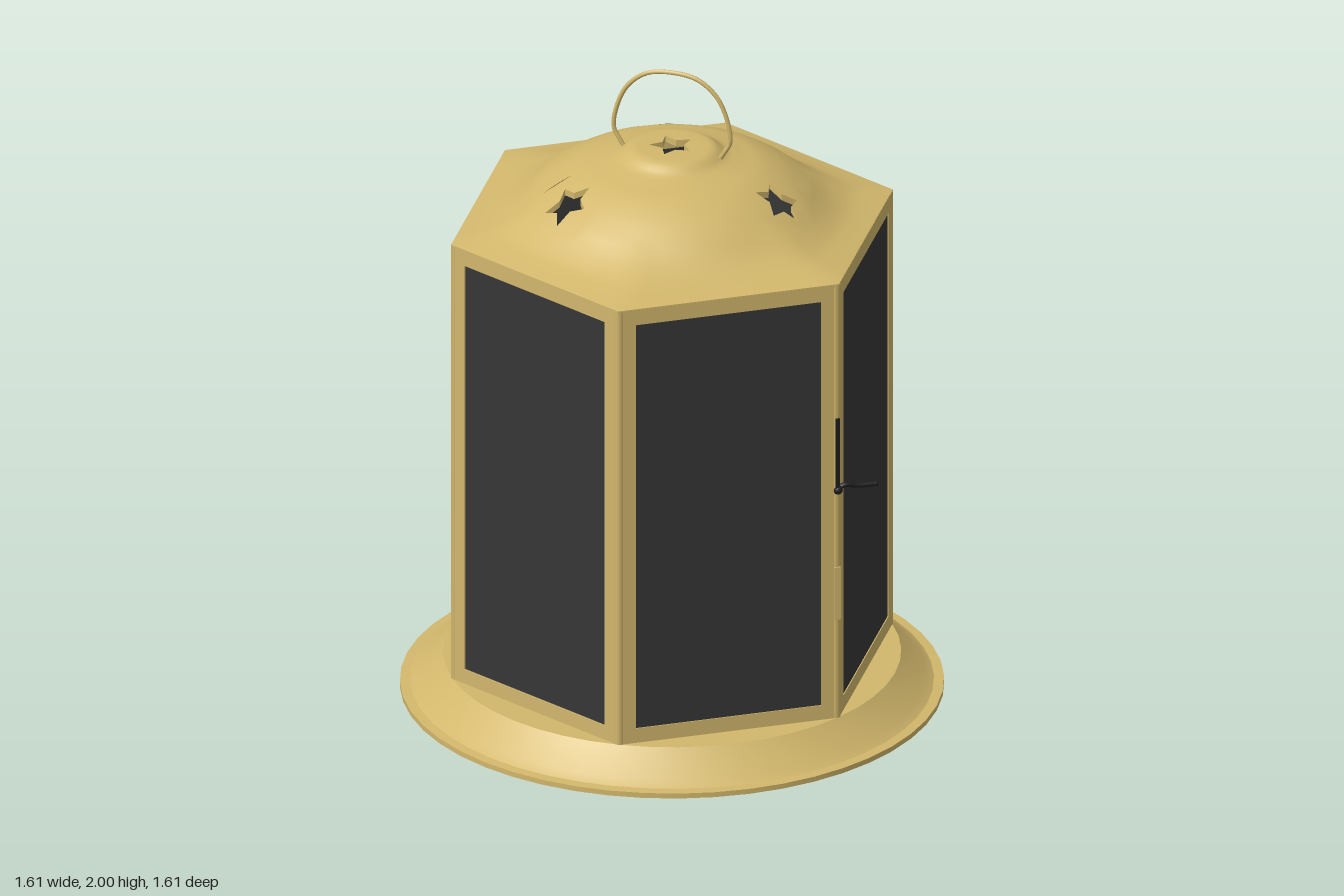
import * as THREE from 'three';
import { mergeGeometries, toCreasedNormals } from 'three/addons/utils/BufferGeometryUtils.js';

const APOTHEM = 0.59, CORNER = 0.681, DEG = Math.PI / 180;

// Roof height: a round dome that spreads into a hexagon at the eaves.
const roofR = [-0.1, 0, 0.08, 0.125, 0.142, 0.16, 0.2, 0.27, 0.34, 0.42, 0.48, 0.55, 0.62, 0.68, 0.75];
const roofY = [1.757, 1.757, 1.757, 1.753, 1.743, 1.73, 1.718, 1.7, 1.667, 1.615, 1.58, 1.55, 1.533, 1.522, 1.508];
const profile = new THREE.CubicInterpolant(roofR, roofY, 1);
const hexRadius = (a) => {
  const w = ((a % (60 * DEG)) + 60 * DEG) % (60 * DEG) - 30 * DEG;
  return APOTHEM / Math.cos(w);
};
function roofHeight(x, y) {
  const r = Math.hypot(x, y);
  const s = r < 0.4 ? r : 0.4 + (r - 0.4) / (hexRadius(Math.atan2(y, x)) - 0.4) * 0.28;
  return profile.evaluate(s)[0];
}

// Lifts a flat plan (x, y) onto the roof and gives it smooth normals.
function drape(geometry) {
  const p = geometry.attributes.position, n = geometry.attributes.normal, e = 0.004;
  for (let i = 0; i < p.count; i++) {
    const x = p.getX(i), y = p.getY(i);
    const dx = (roofHeight(x + e, y) - roofHeight(x - e, y)) / (2 * e);
    const dy = (roofHeight(x, y + e) - roofHeight(x, y - e)) / (2 * e);
    const v = new THREE.Vector3(-dx, 1, dy).normalize();
    p.setXYZ(i, x, roofHeight(x, y), -y);
    n.setXYZ(i, v.x, v.y, v.z);
  }
  return geometry;
}

// Polar strip of roof; r1 = null runs out to the hexagonal eaves.
function strip(r0, r1, a0, a1, nr, na) {
  const g = new THREE.PlaneGeometry(1, 1, nr, na), p = g.attributes.position;
  for (let i = 0; i < p.count; i++) {
    const a = (a0 + (p.getY(i) + 0.5) * (a1 - a0)) * DEG;
    const r = r0 + (p.getX(i) + 0.5) * ((r1 ?? hexRadius(a)) - r0);
    p.setXY(i, r * Math.cos(a), r * Math.sin(a));
  }
  return drape(g);
}

// Five-pointed star outline in plan.
function starPoints(cx, cy, size, turn) {
  return Array.from({ length: 10 }, (_, i) => {
    const a = (turn + i * 36) * DEG, r = i % 2 ? size * 0.52 : size;
    return new THREE.Vector2(cx + r * Math.cos(a), cy + r * Math.sin(a));
  });
}

// Short wall that gives a star cut-out its thickness.
function starWall(points) {
  const pos = [], idx = [];
  points.forEach((q, i) => {
    const y = roofHeight(q.x, q.y), j = (i + 1) % points.length;
    pos.push(q.x, y, -q.y, q.x, y - 0.02, -q.y);
    idx.push(2 * i, 2 * j, 2 * i + 1, 2 * j, 2 * j + 1, 2 * i + 1);
  });
  const g = new THREE.BufferGeometry();
  g.setAttribute('position', new THREE.Float32BufferAttribute(pos, 3));
  g.setIndex(idx);
  return toCreasedNormals(g, 0.3);
}

function pierced(outline, star) {
  const shape = new THREE.Shape(outline);
  shape.holes.push(new THREE.Path(star));
  return drape(new THREE.ShapeGeometry(shape));
}

export function createModel() {
  const brass = new THREE.MeshStandardMaterial({ color: 0xd2b76c, side: THREE.DoubleSide });
  brass.name = 'brass';
  const darkPane = new THREE.MeshStandardMaterial({ color: 0x363636 });
  darkPane.name = 'darkPane';
  const blackIron = new THREE.MeshStandardMaterial({ color: 0x1d1d1d });
  blackIron.name = 'blackIron';

  const model = new THREE.Group();
  model.name = 'lantern';
  const add = (name, geometry, material, parent = model) => {
    const mesh = new THREE.Mesh(geometry, material);
    mesh.name = name;
    parent.add(mesh);
    return mesh;
  };
  const box = (name, w, h, d, x, y, z, material, parent) =>
    add(name, new THREE.BoxGeometry(w, h, d).translate(x, y, z), material, parent);

  // Flared round base, hollow underneath, with a small centre hole
  const basePoints = [
    [0, 0.1], [0.035, 0.1], [0.035, 0.075], [0.67, 0.075], [0.735, 0.022], [0.765, 0.004], [0.805, 0],
    [0.805, 0.016], [0.775, 0.018], [0.75, 0.034], [0.678, 0.108], [0, 0.108],
  ].map(([r, y]) => new THREE.Vector2(r, y));
  add('base', toCreasedNormals(new THREE.LatheGeometry(basePoints, 48), 0.5), brass);
  add('lampHolder', new THREE.CylinderGeometry(0.04, 0.05, 0.15, 16).translate(0, 0.183, 0), blackIron);

  // Six framed walls with corner posts
  const frameShape = new THREE.Shape();
  frameShape.moveTo(-0.325, 0.108).lineTo(0.325, 0.108).lineTo(0.325, 1.52).lineTo(-0.325, 1.52);
  const opening = new THREE.Path();
  opening.moveTo(-0.285, 0.155).lineTo(-0.285, 1.47).lineTo(0.285, 1.47).lineTo(0.285, 0.155);
  frameShape.holes.push(opening);
  const frameGeometry = new THREE.ExtrudeGeometry(frameShape, { depth: 0.02, bevelEnabled: false });
  frameGeometry.translate(0, 0, APOTHEM - 0.02);
  for (let i = 0; i < 6; i++) {
    const wall = new THREE.Group();
    wall.name = 'wall';
    wall.rotation.y = i * 60 * DEG;
    model.add(wall);
    add('frame', frameGeometry, brass, wall);
    box('pane', 0.58, 1.325, 0.008, 0, 0.8125, APOTHEM - 0.007, darkPane, wall);
    const post = add('cornerPost', new THREE.CylinderGeometry(0.015, 0.015, 1.412, 10), brass, wall);
    post.position.set((CORNER - 0.015) * 0.5, 0.814, (CORNER - 0.015) * Math.cos(30 * DEG));
  }

  // Roof with three star cut-outs and one in the cap
  const pieces = [], walls = [];
  const capOutline = Array.from({ length: 72 }, (_, i) =>
    new THREE.Vector2(0.1 * Math.cos(i * 5 * DEG), 0.1 * Math.sin(i * 5 * DEG)));
  const capStar = starPoints(0, 0, 0.068, 18);
  pieces.push(pierced(capOutline, capStar));
  walls.push(starWall(capStar));
  pieces.push(strip(0.1, 0.27, 0, 360, 14, 72));
  pieces.push(strip(0.45, null, 0, 360, 10, 72));
  for (const [angle, turn] of [[75, 33], [195, 9], [315, 25]]) {
    const star = starPoints(0.36 * Math.cos(angle * DEG), 0.36 * Math.sin(angle * DEG), 0.07, turn);
    const outline = [];
    const put = (r, a) => outline.push(new THREE.Vector2(r * Math.cos(a * DEG), r * Math.sin(a * DEG)));
    for (let a = -20; a <= 20; a += 5) put(0.45, angle + a);
    for (let k = 5; k >= 1; k--) put(0.27 + k * 0.03, angle + 20);
    for (let a = 20; a >= -20; a -= 5) put(0.27, angle + a);
    for (let k = 1; k <= 5; k++) put(0.27 + k * 0.03, angle - 20);
    pieces.push(pierced(outline, star), strip(0.27, 0.45, angle + 20, angle + 100, 6, 16));
    walls.push(starWall(star));
  }
  add('roof', mergeGeometries(pieces), brass);
  add('starEdges', mergeGeometries(walls), brass);
  const eaves = new THREE.CylinderGeometry(CORNER, CORNER, 0.012, 6, 1, true);
  add('eaves', toCreasedNormals(eaves.rotateY(30 * DEG), 0.3), brass).position.y = 1.516;
  eaves.computeBoundingBox();

  // Wire carrying loop, set diagonally across the cap
  const half = [[0.15, 1.735], [0.162, 1.755], [0.18, 1.79], [0.174, 1.85], [0.14, 1.93], [0.08, 1.98]];
  const loop = [...half, [0, 1.993], ...half.map(([x, y]) => [-x, y]).reverse()];
  const wire = new THREE.CatmullRomCurve3(loop.map(([x, y]) => new THREE.Vector3(x, y, 0)));
  add('carryLoop', new THREE.TubeGeometry(wire, 64, 0.007, 8), brass).rotation.y = -34 * DEG;

  // Door hinges and latch at the front left corner
  box('hinge', 0.02, 0.17, 0.012, 0.335, 0.515, 0.588, brass);
  box('latchPlate', 0.012, 0.24, 0.012, 0.335, 0.965, 0.59, blackIron);
  const lever = new THREE.CatmullRomCurve3([[0.335, 0.85], [0.36, 0.862], [0.4, 0.855], [0.455, 0.853]]
    .map(([x, y]) => new THREE.Vector3(x, y, 0.583)));
  add('latchLever', new THREE.TubeGeometry(lever, 16, 0.008, 8), blackIron);
  add('latchTip', new THREE.SphereGeometry(0.008, 10, 8).translate(0.455, 0.853, 0.583), blackIron);
  add('latchPivot', new THREE.SphereGeometry(0.015, 12, 8).translate(0.338, 0.85, 0.586), blackIron);

  return model;
}
